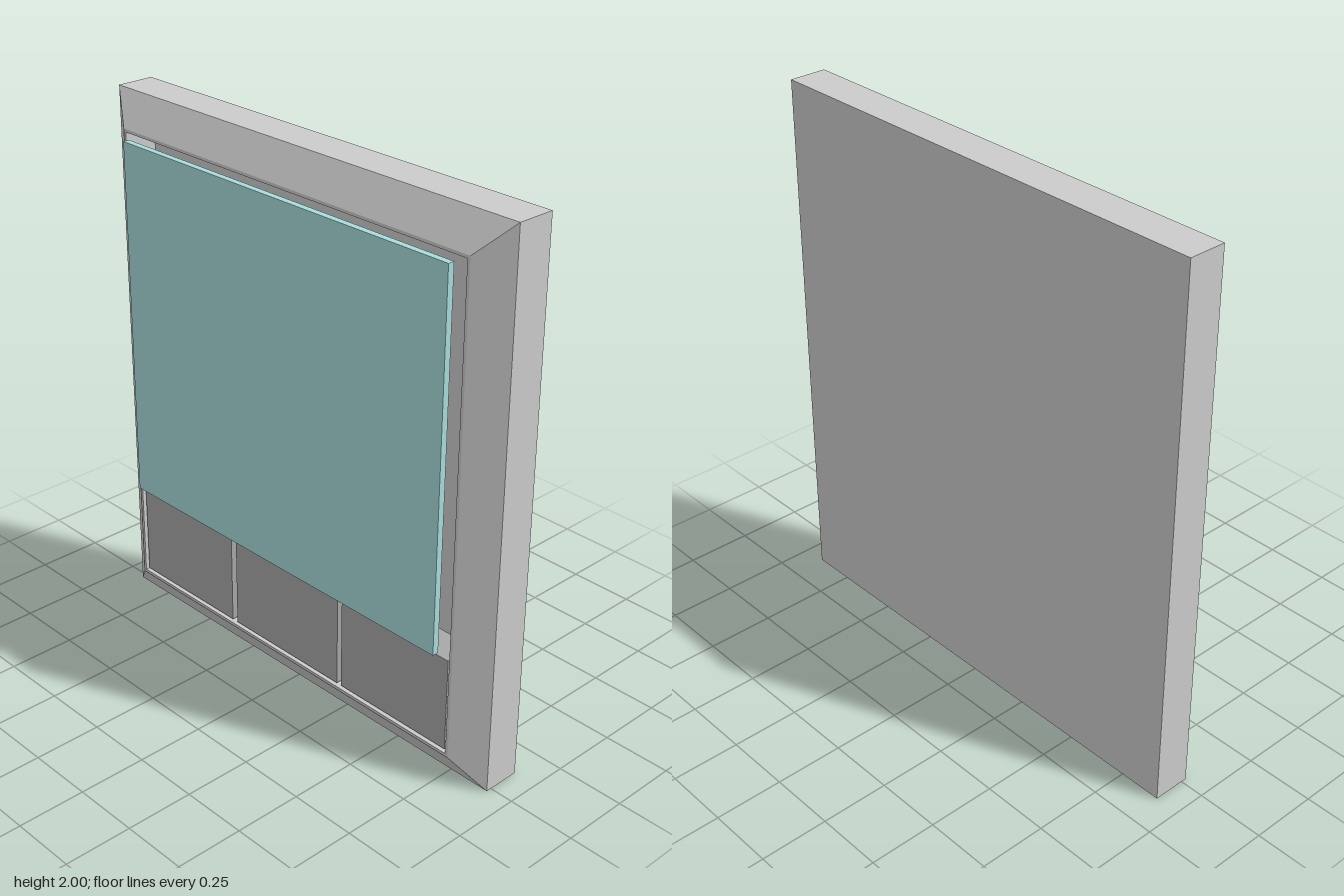
import * as THREE from 'three';

const grey = new THREE.MeshStandardMaterial({ color: 0xcccccc, flatShading: true });
const darkGrey = new THREE.MeshStandardMaterial({ color: 0xa8a8a8, flatShading: true });
const glass = new THREE.MeshStandardMaterial({ color: 0xa8dcdc, flatShading: true });

// Skin a stack of rectangles [half width, half height, z] around the panel
// centre, closing the first and last with flat caps.
function rectangleLoft(rings) {
  const corners = rings.map(([w, h, z]) =>
    [[-w, -h], [w, -h], [w, h], [-w, h]].map(([x, y]) => [x, y + 1, z]));
  const pos = [];
  const quad = (a, b, c, d) => pos.push(...a, ...b, ...c, ...a, ...c, ...d);
  for (let r = 0; r < corners.length - 1; r++) {
    for (let i = 0; i < 4; i++) {
      const j = (i + 1) % 4;
      quad(corners[r][i], corners[r][j], corners[r + 1][j], corners[r + 1][i]);
    }
  }
  const [a, b, c, d] = corners[0];
  quad(d, c, b, a);
  quad(...corners[corners.length - 1]);
  const geometry = new THREE.BufferGeometry();
  geometry.setAttribute('position', new THREE.Float32BufferAttribute(pos, 3));
  geometry.computeVertexNormals();
  return geometry;
}

// Box given by its limits on each axis
function block(name, material, [x0, x1], [y0, y1], [z0, z1]) {
  const mesh = new THREE.Mesh(new THREE.BoxGeometry(x1 - x0, y1 - y0, z1 - z0), material);
  mesh.position.set((x0 + x1) / 2, (y0 + y1) / 2, (z0 + z1) / 2);
  mesh.name = name;
  return mesh;
}

export function createModel() {
  const group = new THREE.Group();
  group.name = 'framedPanel';

  // Housing: back slab, bevelled rim, narrow lip and recessed floor
  const frame = new THREE.Mesh(rectangleLoft([
    [0.91, 1, -0.12],
    [0.91, 1, 0.02],
    [0.797, 0.887, 0.095],
    [0.786, 0.876, 0.095],
    [0.786, 0.876, -0.03],
  ]), grey);
  frame.name = 'frame';
  group.add(frame);

  // Thin screen standing just proud of the rim
  group.add(block('screen', glass, [-0.77, 0.737], [0.5, 1.853], [0.096, 0.12]));

  // Three keys along the bottom of the recess
  const keys = { leftKey: [0.285, 0.775], middleKey: [-0.26, 0.265], rightKey: [-0.775, -0.285] };
  for (const [name, xs] of Object.entries(keys)) {
    group.add(block(name, darkGrey, xs, [0.133, 0.483], [-0.03, 0.088]));
  }
  return group;
}
